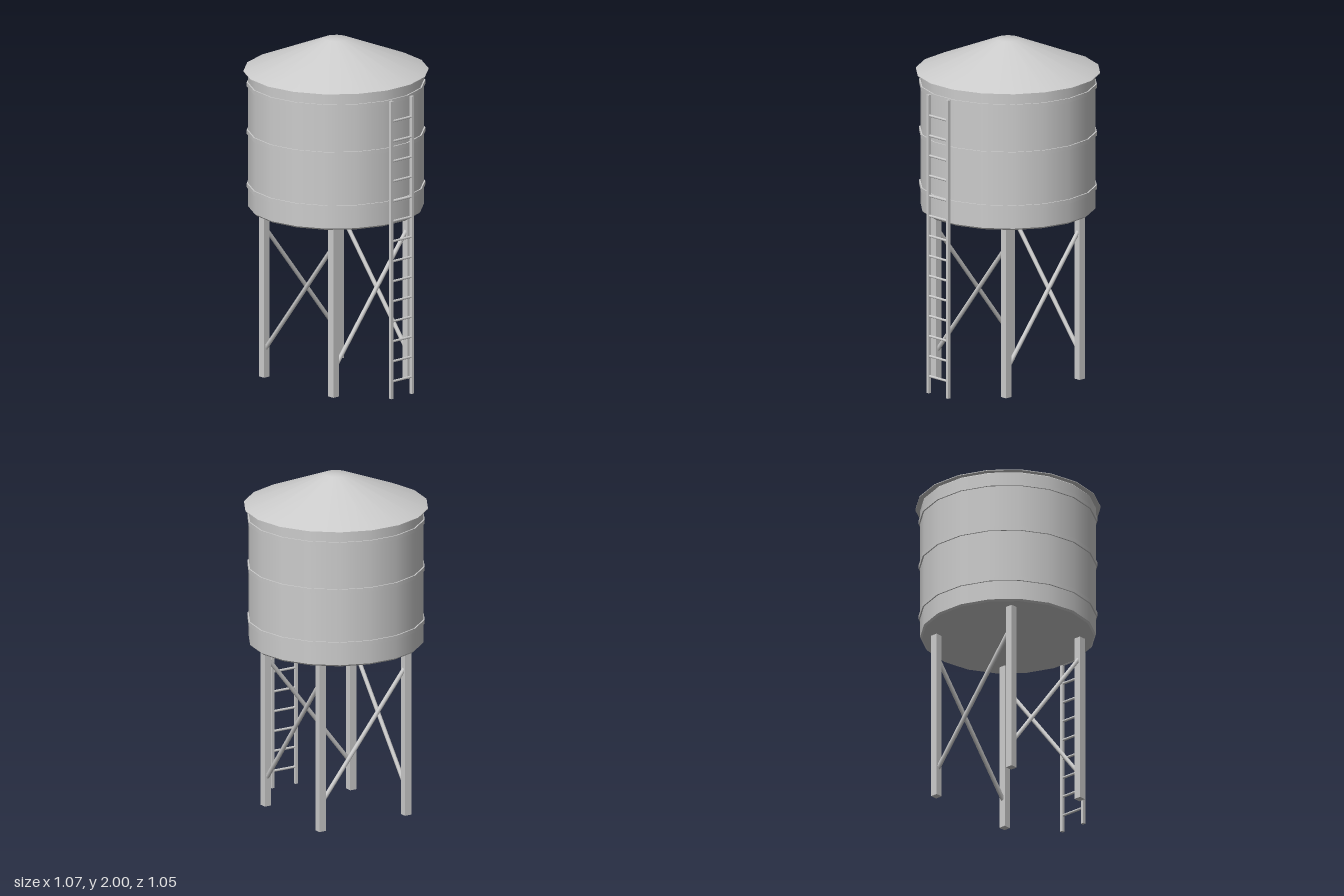
import * as THREE from 'three';

export function createModel() {
  const root = new THREE.Group();
  root.name = 'waterTower';
  const metal = new THREE.MeshStandardMaterial({ color: 0xcccccc });
  metal.name = 'paleGreyMetal';

  const SIDES = 18;
  const CX = -0.018; // tower axis, offset to balance the ladder

  const tower = new THREE.Group();
  tower.name = 'tower';
  tower.position.x = CX;
  root.add(tower);

  function add(parent, name, geometry, x = 0, y = 0, z = 0) {
    const mesh = new THREE.Mesh(geometry, metal);
    mesh.name = name;
    mesh.position.set(x, y, z);
    parent.add(mesh);
    return mesh;
  }

  // Straight bar between two points
  function bar(parent, name, a, b, radius, sides) {
    const dir = b.clone().sub(a);
    const mesh = add(parent, name, new THREE.CylinderGeometry(radius, radius, dir.length(), sides));
    mesh.position.copy(a).add(b).multiplyScalar(0.5);
    mesh.quaternion.setFromUnitVectors(new THREE.Vector3(0, 1, 0), dir.normalize());
  }

  // Tank: wall with small chamfers at the top and bottom
  add(tower, 'tankWall', new THREE.CylinderGeometry(0.5, 0.5, 0.79, SIDES, 1, true), 0, 1.41, 0);
  add(tower, 'tankBase', new THREE.CylinderGeometry(0.5, 0.49, 0.01, SIDES), 0, 1.01, 0);
  add(tower, 'tankTop', new THREE.CylinderGeometry(0.49, 0.5, 0.01, SIDES), 0, 1.81, 0);

  // Hoops around the tank
  for (const y of [1.14, 1.455, 1.735]) {
    add(tower, 'hoop', new THREE.CylinderGeometry(0.508, 0.508, 0.024, SIDES), 0, y, 0);
  }

  // Shallow conical roof with a small blunt peak, and its underside
  const profile = [[0.527, 1.814], [0.07, 2], [0, 2]].map(p => new THREE.Vector2(...p));
  add(tower, 'roof', new THREE.LatheGeometry(profile, SIDES));
  add(tower, 'eave', new THREE.CylinderGeometry(0.527, 0.527, 0.004, SIDES), 0, 1.812, 0);

  // Four legs, each side with one diagonal brace rising to the next leg
  const L = 0.288;
  for (let i = 0; i < 4; i++) {
    const side = new THREE.Group();
    side.name = 'legAndBrace';
    side.rotation.y = i * Math.PI / 2;
    tower.add(side);
    add(side, 'leg', new THREE.BoxGeometry(0.043, 1.005, 0.043), -L, 0.5025, L);
    bar(side, 'brace', new THREE.Vector3(-L, 0.155, L), new THREE.Vector3(L, 0.885, L), 0.0125, 8);
  }

  // Ladder on the left side
  const ladder = new THREE.Group();
  ladder.name = 'ladder';
  ladder.position.x = 0.528;
  root.add(ladder);
  for (const s of [-1, 1]) {
    add(ladder, 'ladderRail', new THREE.BoxGeometry(0.018, 1.755, 0.018), 0, 0.8775, s * 0.08);
  }
  for (let i = 0; i < 14; i++) {
    const y = 0.1 + i * 0.118;
    bar(ladder, 'rung', new THREE.Vector3(0, y, -0.08), new THREE.Vector3(0, y, 0.08), 0.0075, 8);
  }

  return root;
}
